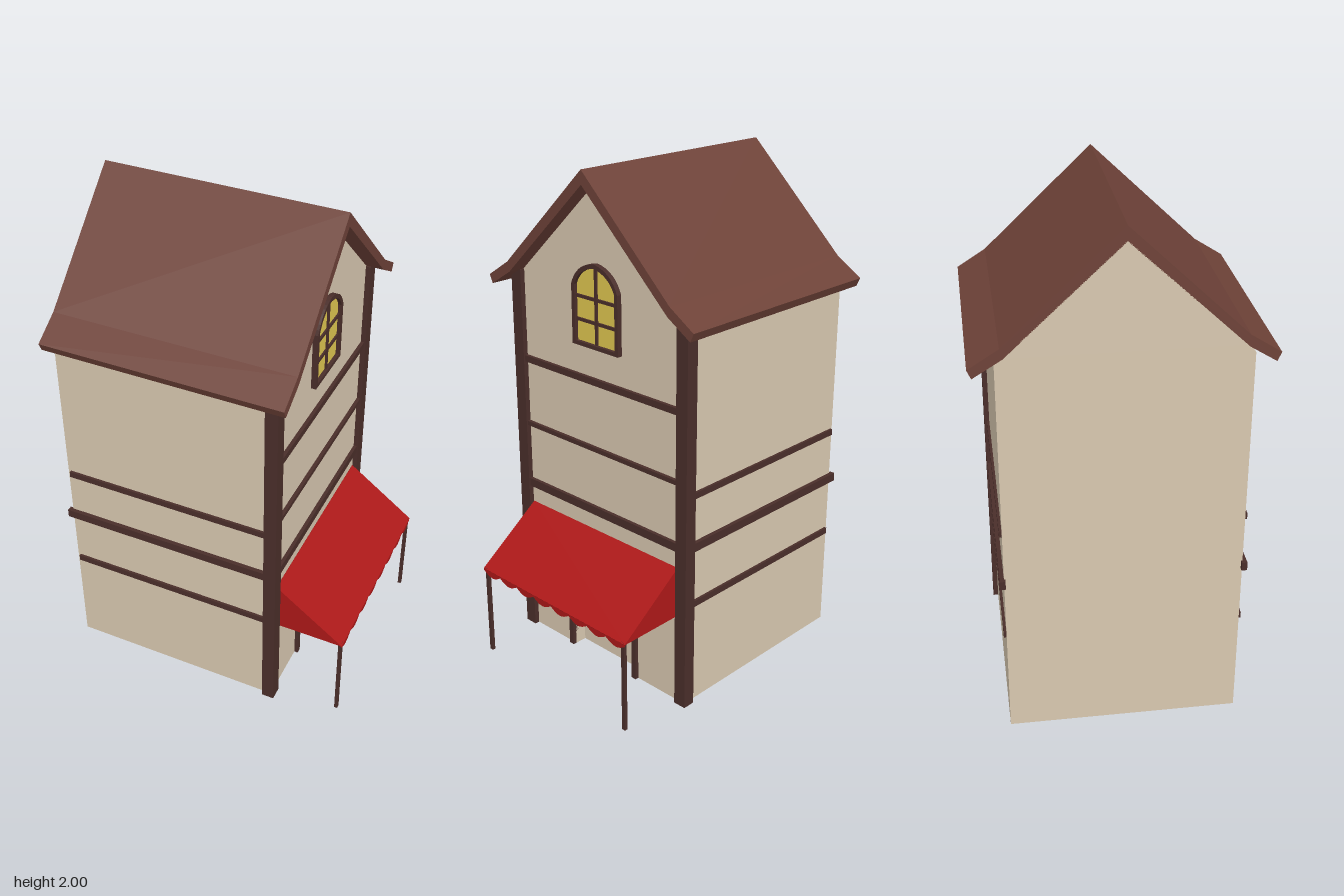
import * as THREE from 'three';

const mat = (color) => new THREE.MeshStandardMaterial({ color, flatShading: true, side: THREE.DoubleSide });

export function createModel() {
  const house = new THREE.Group();
  house.name = 'house';
  const plaster = mat(0xd8c8b0), timber = mat(0x4a2e2a), tile = mat(0x6e4238);
  const glass = mat(0xe0c750), cloth = mat(0xad1818);

  const add = (name, geometry, material, parent = house) => {
    const mesh = new THREE.Mesh(geometry, material);
    mesh.name = name;
    parent.add(mesh);
    return mesh;
  };
  // box given by its extents
  const box = (name, x0, x1, y0, y1, z0, z1, material = timber, parent = house) => {
    const mesh = add(name, new THREE.BoxGeometry(x1 - x0, y1 - y0, z1 - z0), material, parent);
    mesh.position.set((x0 + x1) / 2, (y0 + y1) / 2, (z0 + z1) / 2);
    return mesh;
  };
  const outline = (points) => new THREE.Shape(points.map(([a, b]) => new THREE.Vector2(a, b)));
  // cross-section in the z/y plane, extruded along x
  const slab = (name, shape, x0, x1, material, parent = house) => {
    const geometry = new THREE.ExtrudeGeometry(shape, { depth: x1 - x0, bevelEnabled: false, curveSegments: 8 });
    geometry.rotateY(Math.PI / 2).translate(x0, 0, 0);
    return add(name, geometry, material, parent);
  };
  const mirrored = (half) => [...half, ...half.filter(([z]) => z !== 0).reverse().map(([z, y]) => [-z, y])];

  // walls: a solid body plus a facade layer notched for the doorway
  const gable = [[0.44, 1.535], [0.41, 1.565], [0, 1.95]];
  slab('walls', outline(mirrored([[0.44, 0], ...gable])), -0.57, 0.25, plaster);
  const notched = [[0.17, 0.53], [0.17, 0], [0.44, 0], ...gable];
  slab('facade', outline(mirrored(notched)), 0.25, 0.3, plaster);

  // roof with slightly flared eaves
  slab('roof', outline([
    [0, 2], [0.42, 1.6], [0.53, 1.53], [0.515, 1.497], [0.41, 1.562], [0, 1.947],
    [-0.41, 1.562], [-0.515, 1.497], [-0.53, 1.53], [-0.42, 1.6],
  ]), -0.57, 0.37, tile);

  for (const s of [1, -1]) {
    const span = (a, b) => (s > 0 ? [a, b] : [-b, -a]);
    // corner posts and side beams
    box('cornerPost', 0.27, 0.32, 0, 1.56, ...span(0.407, 0.46));
    box('sideBeamUpper', -0.56, 0.28, 0.862, 0.887, ...span(0.43, 0.45));
    box('sideBeamMiddle', -0.585, 0.28, 0.652, 0.686, ...span(0.435, 0.456));
    box('sideBeamLower', -0.56, 0.28, 0.415, 0.44, ...span(0.43, 0.45));
    // short facade beams beside the door, door jambs, awning poles
    box('doorSideBeam', 0.29, 0.312, 0.415, 0.44, ...span(0.19, 0.41));
    box('doorJamb', 0.285, 0.315, 0, 0.55, ...span(0.17, 0.193));
    box('awningPole', 0.562, 0.575, 0, 0.38, ...span(0.38, 0.396));
  }
  box('doorLintel', 0.285, 0.315, 0.527, 0.55, -0.193, 0.193);

  // facade beams
  for (const [y0, y1] of [[1.19, 1.216], [0.92, 0.938], [0.652, 0.686]]) {
    box('facadeBeam', 0.29, 0.314, y0, y1, -0.41, 0.41);
  }

  // arched window
  const win = new THREE.Group();
  win.name = 'window';
  house.add(win);
  const arch = (w, bottom, top, Type = THREE.Shape) => {
    const s = new Type();
    s.moveTo(-w, bottom);
    s.lineTo(w, bottom);
    s.lineTo(w, 1.565);
    s.quadraticCurveTo(w * 0.75, top - 0.012, 0, top);
    s.quadraticCurveTo(-w * 0.75, top - 0.012, -w, 1.565);
    s.closePath();
    return s;
  };
  const frame = arch(0.12, 1.335, 1.657);
  frame.holes.push(arch(0.104, 1.35, 1.64, THREE.Path));
  slab('windowFrame', frame, 0.295, 0.32, timber, win);
  slab('windowPane', arch(0.11, 1.342, 1.646), 0.295, 0.306, glass, win);
  box('windowMullion', 0.3, 0.313, 1.345, 1.645, -0.006, 0.006, timber, win);
  for (const y of [1.433, 1.522]) box('windowBar', 0.3, 0.313, y - 0.006, y + 0.006, -0.107, 0.107, timber, win);

  // awning: sloped sheet, triangular cheeks and scalloped valance
  const awning = new THREE.Group();
  awning.name = 'awning';
  house.add(awning);
  const top = [0.3, 0.578], lip = [0.577, 0.375];
  const dx = lip[0] - top[0], dy = lip[1] - top[1];
  const sheet = add('awningSheet', new THREE.BoxGeometry(Math.hypot(dx, dy), 0.005, 0.806), cloth, awning);
  sheet.position.set((top[0] + lip[0]) / 2, (top[1] + lip[1]) / 2, 0);
  sheet.rotation.z = Math.atan2(dy, dx);
  for (const z of [0.402, -0.402]) {
    const cheek = add('awningCheek', new THREE.ShapeGeometry(outline([top, [0.3, 0.375], lip])), cloth, awning);
    cheek.position.z = z;
  }
  const hem = [[0.403, 0.378], [-0.403, 0.378]];
  for (let i = 0; i <= 64; i++) {
    hem.push([-0.403 + (0.806 * i) / 64, 0.368 - 0.02 * Math.abs(Math.sin((Math.PI * i) / 8))]);
  }
  const valance = add('awningValance', new THREE.ShapeGeometry(outline(hem)), cloth, awning);
  valance.rotation.y = Math.PI / 2;
  valance.position.x = 0.577;

  return house;
}
